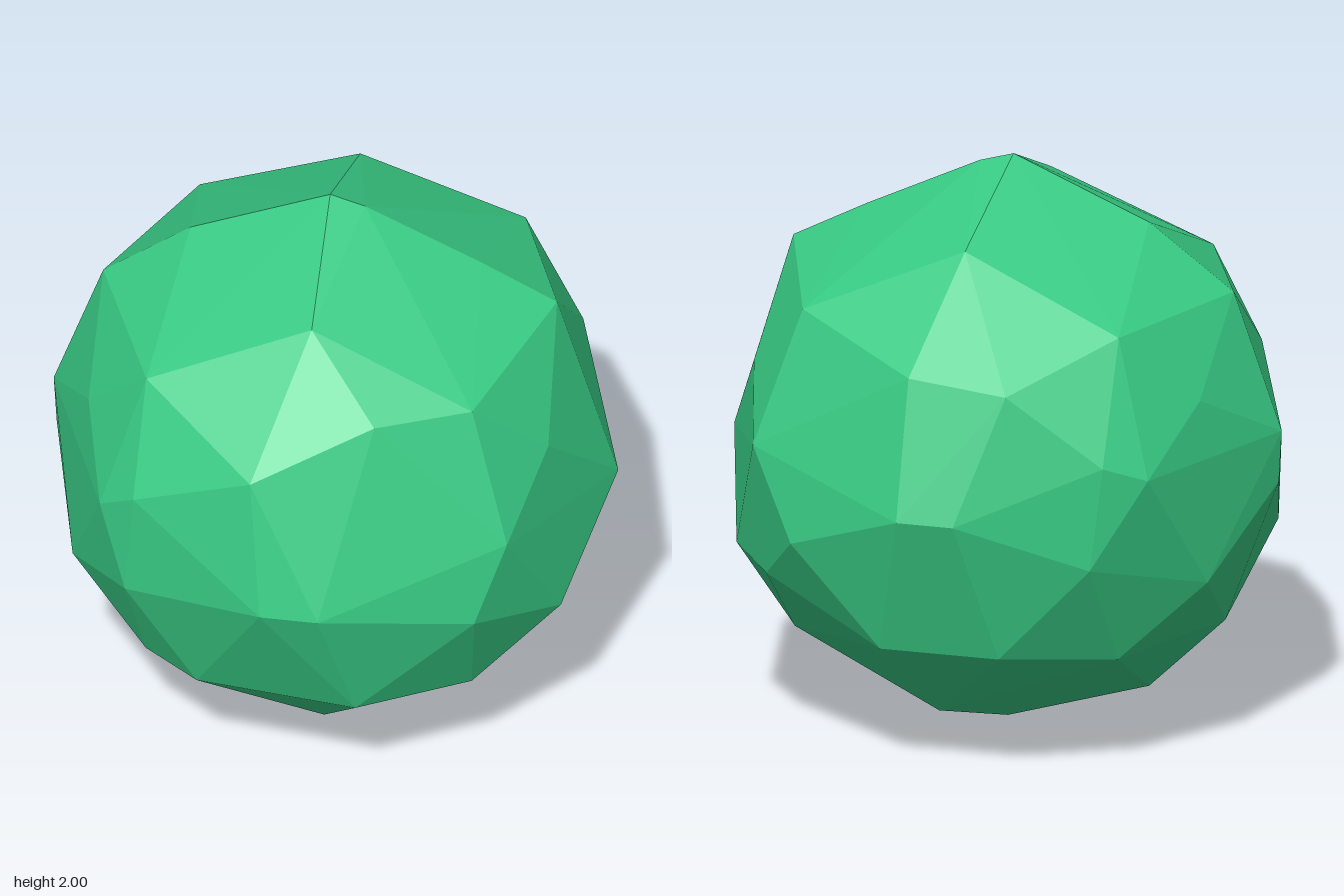
import * as THREE from 'three';
import { ConvexGeometry } from 'three/addons/geometries/ConvexGeometry.js';

const green = new THREE.MeshStandardMaterial({ color: 0x38ca84, flatShading: true });
green.name = 'green';

export function createModel() {
  const corners = [];
  const add = (x, y, z) => corners.push(new THREE.Vector3(x, y, z));
  // Adds a corner and its reflections in the chosen planes
  const mirror = (x, y, z, overX, overZ) => {
    for (const sx of overX ? [1, -1] : [1])
      for (const sz of overZ ? [1, -1] : [1]) add(sx * x, y, sz * z);
  };

  // Crown: peak, shoulder ring and upper diagonal corners
  add(-0.02, 2, 0);
  add(0.1, 1.965, 0);
  mirror(0, 1.8, 0.5, false, true);
  add(-0.5, 1.8, 0);
  add(0.5, 1.775, 0);
  add(0.76, 1.64, 0);
  add(-0.8, 1.58, 0);
  mirror(0.56, 1.56, 0.55, true, true);
  add(0.25, 1.57, 0.71);
  add(-0.15, 1.4, 0.87);
  add(-0.25, 1.41, -0.85);
  add(0.1, 1.44, -0.83);
  mirror(0.79, 1.3, 0.36, true, true);

  // Girdle: widest corners around the middle
  mirror(0.7, 1.1, 0.67, true, true);
  add(-0.57, 1.16, -0.77);
  add(-0.57, 1.2, 0.76);
  add(0.97, 0.95, 0);
  add(-0.97, 1.1, 0);
  add(-0.96, 0.92, 0);
  mirror(0.1, 0.92, 0.975, true, false);
  mirror(0.1, 0.97, -0.975, true, false);
  mirror(0.53, 0.8, -0.79, true, false);
  mirror(0.6, 0.81, 0.75, true, false);
  mirror(0.84, 0.66, 0.4, false, true);
  add(-0.84, 0.66, 0.39);
  add(-0.82, 0.66, -0.37);

  // Base: lower ring, underside ring and bottom point
  add(0.2, 0.44, 0.8);
  add(-0.36, 0.42, 0.71);
  mirror(0.21, 0.46, -0.8, true, false);
  mirror(0.77, 0.41, 0, true, false);
  mirror(0.56, 0.42, 0.56, true, false);
  add(-0.56, 0.42, -0.56);
  add(0.68, 0.62, -0.58);
  add(0.66, 0.35, -0.31);
  mirror(0.5, 0.15, 0, true, false);
  add(0.04, 0.15, 0.48);
  add(0.1, 0.15, -0.47);
  add(0, 0, 0);

  const gem = new THREE.Mesh(new ConvexGeometry(corners), green);
  gem.name = 'facetedBall';

  const group = new THREE.Group();
  group.name = 'facetedGem';
  group.add(gem);
  return group;
}
